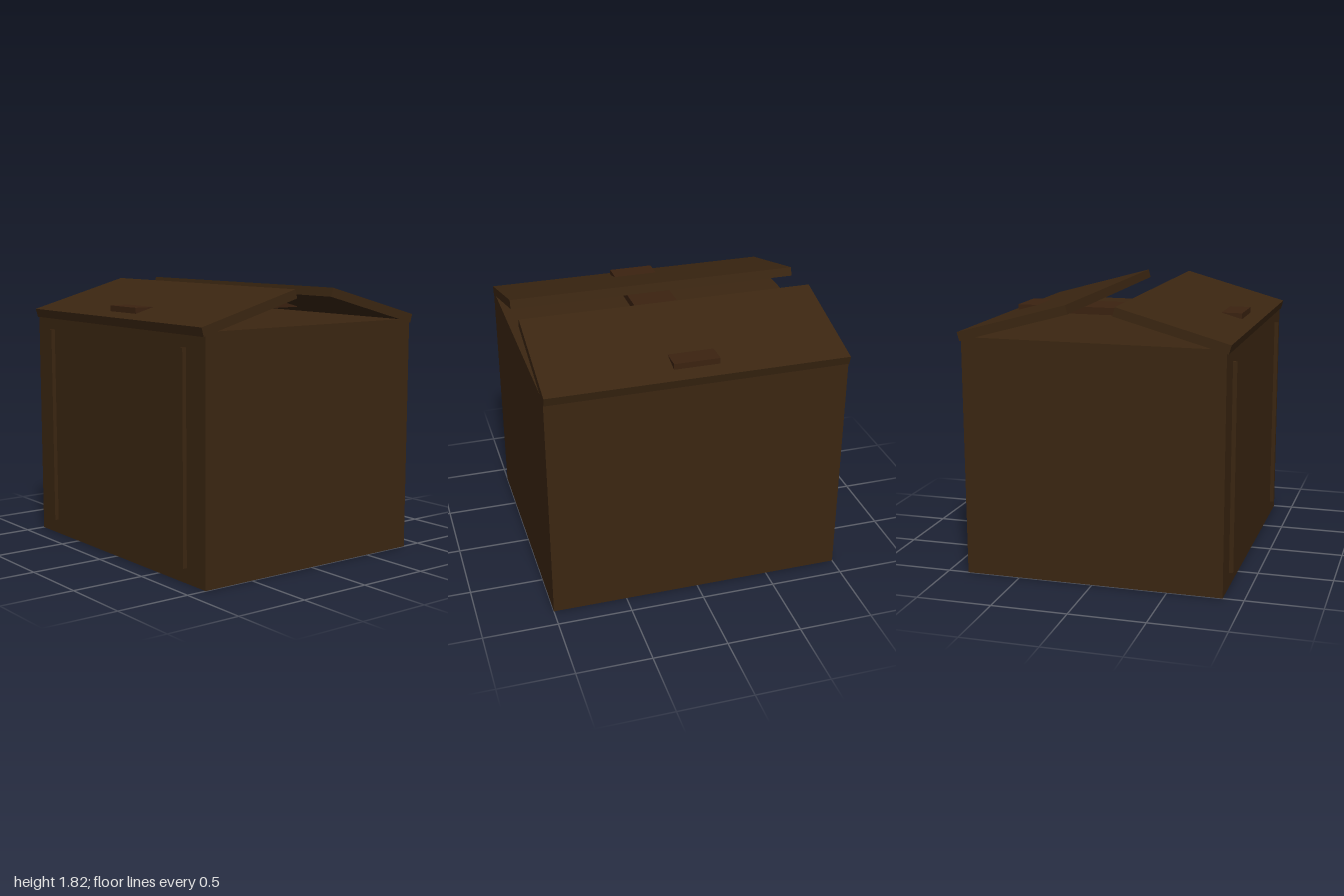
import * as THREE from 'three';

export function createModel() {
  const wood = new THREE.MeshStandardMaterial({ color: 0x3b2611 });
  wood.name = 'dark brown';
  const strap = new THREE.MeshStandardMaterial({ color: 0x3b2210 });
  strap.name = 'reddish brown';

  const model = new THREE.Group();
  model.name = 'box';
  const addBox = (name, size, position, material = wood) => {
    const mesh = new THREE.Mesh(new THREE.BoxGeometry(...size), material);
    mesh.name = name;
    mesh.position.set(...position);
    model.add(mesh);
    return mesh;
  };

  // Closed body
  addBox('body', [2, 1.588, 1.725], [0, 0.794, 0]);

  // Two sloping lid flaps, open along the ridge
  for (const side of [1, -1]) {
    const flap = addBox(side > 0 ? 'frontFlap' : 'backFlap', [2, 0.06, 0.757], [0, 1.689, side * 0.517]);
    flap.rotation.x = side * 0.269;
  }

  // Level strap whose ends emerge through the flaps
  addBox('strap', [0.305, 0.05, 1.585], [0, 1.658, 0], strap);

  // Thin upright battens on the front
  for (const side of [1, -1]) {
    addBox(side > 0 ? 'leftBatten' : 'rightBatten', [0.022, 1.38, 0.03], [side * 0.793, 0.79, 0.875]);
  }
  return model;
}
